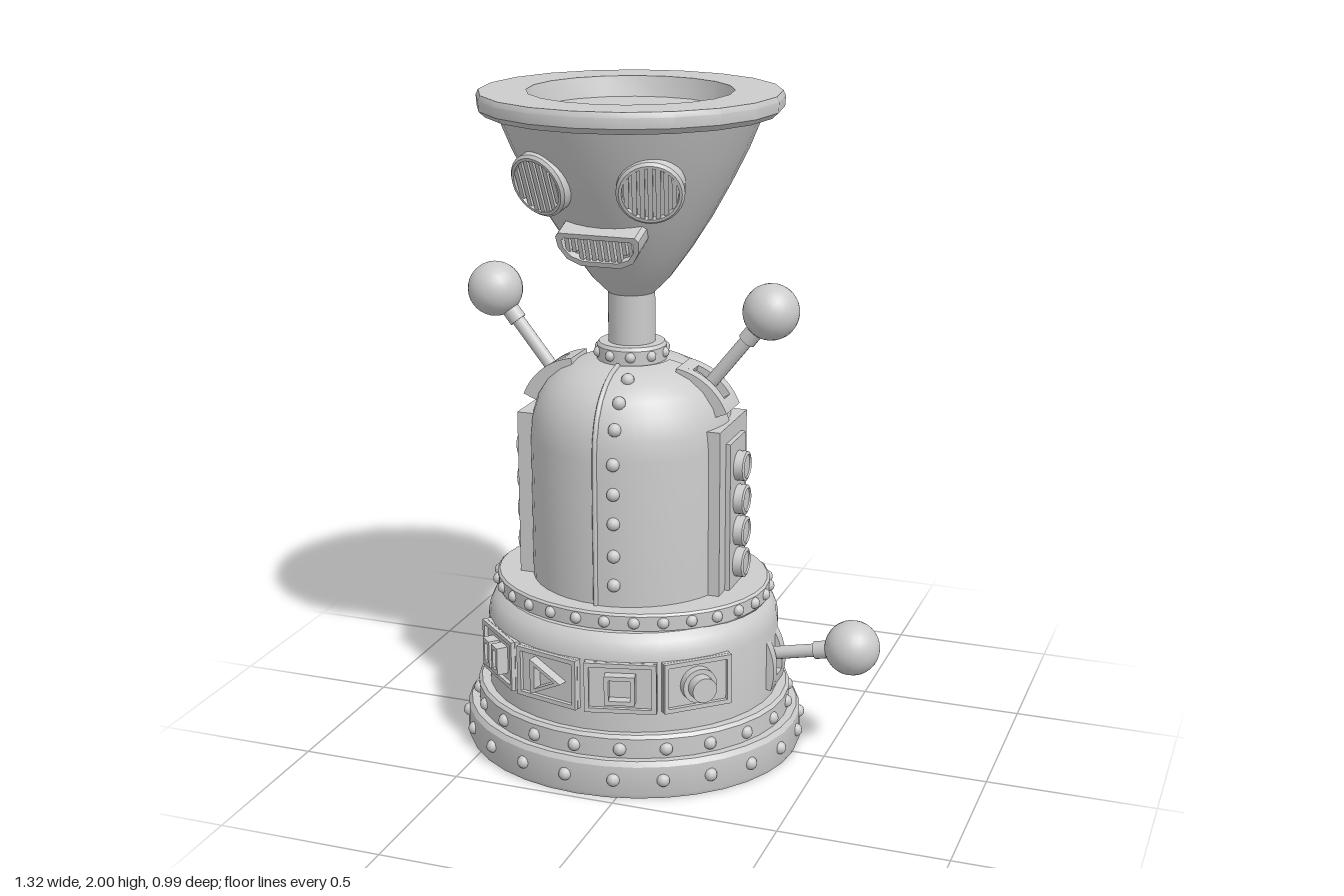
import * as THREE from 'three';
import { toCreasedNormals } from 'three/addons/utils/BufferGeometryUtils.js';

const material = new THREE.MeshStandardMaterial({ color: 0xcccccc });
const thinMaterial = new THREE.MeshStandardMaterial({ color: 0xcccccc, side: THREE.DoubleSide });
const pts = (list) => list.map(([x, y]) => new THREE.Vector2(x, y));

function add(parent, name, geometry, x = 0, y = 0, z = 0) {
  const mesh = new THREE.Mesh(geometry, material);
  mesh.name = name;
  mesh.position.set(x, y, z);
  parent.add(mesh);
  return mesh;
}

function addGroup(parent, name, x, y, z) {
  const g = new THREE.Group();
  g.name = name;
  g.position.set(x, y, z);
  parent.add(g);
  return g;
}

const lathe = (list, segments = 36, start = 0, sweep = Math.PI * 2) =>
  toCreasedNormals(new THREE.LatheGeometry(pts(list), segments, start, sweep), 0.55);

const extrude = (shape, depth) =>
  toCreasedNormals(new THREE.ExtrudeGeometry(shape, { depth, bevelEnabled: false, curveSegments: 12 }), 0.55);

// Outline with an optional inset copy cut out of it
function frame(outer, inner, depth) {
  const shape = new THREE.Shape(pts(outer));
  if (inner) shape.holes.push(new THREE.Path(pts(inner)));
  return extrude(shape, depth);
}
const rect = (w, h) => [[-w / 2, -h / 2], [w / 2, -h / 2], [w / 2, h / 2], [-w / 2, h / 2]];
const scaled = (list, s) => list.map(([x, y]) => [x * s, y * s]);

// Dome-headed rivets evenly spaced round an ellipse
const rivet = new THREE.SphereGeometry(0.02, 10, 8);
function rivetRing(parent, name, count, rx, rz, y, offset, size = 1) {
  for (let i = 0; i < count; i++) {
    const t = ((i + offset) / count) * Math.PI * 2;
    add(parent, name, rivet, rx * Math.sin(t), y, rz * Math.cos(t)).scale.setScalar(size);
  }
}

// Section of a curved plate, bent over the z axis, its crown at the origin
function arcPiece(a0, a1, depth) {
  const R = 0.2, shape = new THREE.Shape();
  shape.absarc(0, -R, R, Math.PI / 2 + a0, Math.PI / 2 + a1, false);
  shape.absarc(0, -R, R - 0.06, Math.PI / 2 + a1, Math.PI / 2 + a0, true);
  return extrude(shape, depth);
}

// Slotted plate with a ball-ended lever along local +y
function addLever(parent, name, x, y, z, tilt, length) {
  const g = addGroup(parent, name, x, y, z);
  g.rotation.z = tilt;
  for (const s of [-1, 1]) {
    add(g, 'slotRail', arcPiece(-0.52, 0.52, 0.036), 0, 0, s * 0.044 - 0.018);
    const [a0, a1] = s < 0 ? [-0.52, -0.32] : [0.32, 0.52];
    add(g, 'slotEnd', arcPiece(a0, a1, 0.06), 0, 0, -0.03);
  }
  add(g, 'leverRod', new THREE.CylinderGeometry(0.02, 0.02, length + 0.06, 14), 0, length / 2 - 0.03, 0);
  add(g, 'leverCollar', new THREE.CylinderGeometry(0.027, 0.027, 0.045, 14), 0, length - 0.095, 0);
  add(g, 'leverBall', new THREE.SphereGeometry(0.083, 24, 16), 0, length, 0);
}

function addBase(body) {
  const tiers = [
    ['bottomPlinth', 0.92, [[0, 0], [0.52, 0], [0.525, 0.012], [0.522, 0.1], [0.512, 0.115], [0, 0.115]]],
    ['upperPlinth', 0.925, [[0.4, 0.11], [0.488, 0.11], [0.488, 0.175], [0.478, 0.185], [0, 0.185]]],
    ['drum', 0.94, [[0.4, 0.18], [0.45, 0.18], [0.45, 0.4], [0.444, 0.43], [0.43, 0.46], [0.405, 0.48], [0, 0.48]]],
    ['drumRing', 0.855, [[0.35, 0.475], [0.42, 0.475], [0.425, 0.482], [0.425, 0.525], [0.418, 0.532], [0, 0.532]]],
  ];
  for (const [name, squash, profile] of tiers) add(body, name, lathe(profile)).scale.z = squash;
  rivetRing(body, 'plinthRivet', 22, 0.52, 0.478, 0.058, -0.25);
  rivetRing(body, 'upperPlinthRivet', 22, 0.484, 0.448, 0.143, -0.13);
  rivetRing(body, 'ringRivet', 30, 0.422, 0.36, 0.505, 0.5, 0.9);
}

// Four control buttons wrapped round the front of the drum
function addControls(body) {
  const triangle = [[-0.045, -0.055], [0.065, 0], [-0.045, 0.055]];
  const icons = [
    (g) => [-1, 1].forEach((s) => add(g, 'barKey', frame(rect(0.044, 0.085), rect(0.022, 0.06), 0.035), s * 0.03)),
    (g) => add(g, 'triangleKey', frame(triangle, scaled(triangle, 0.65), 0.03)),
    (g) => add(g, 'squareKey', frame(rect(0.09, 0.09), rect(0.064, 0.064), 0.03)),
    (g) => [[0.053, 0.025], [0.038, 0.06]].forEach(([r, d]) =>
      add(g, 'roundKey', new THREE.CylinderGeometry(r, r, d, 20), 0, 0, d / 2).rotation.x = Math.PI / 2),
  ];
  icons.forEach((icon, i) => {
    const t = (i - 1.5) * 0.51, rx = 0.452, rz = 0.424;
    const g = addGroup(body, 'controlButton', rx * Math.sin(t), 0.328, rz * Math.cos(t));
    g.rotation.y = Math.atan2(Math.sin(t) / rx, Math.cos(t) / rz);
    add(g, 'buttonPlate', new THREE.BoxGeometry(0.212, 0.155, 0.05), 0, 0, -0.026);
    add(g, 'buttonFrame', frame(rect(0.212, 0.155), rect(0.185, 0.128), 0.012));
    icon(g);
  });
}

function addTorso(body) {
  const dome = [[0.305, 0.5], [0.305, 0.97], [0.3, 1.03], [0.282, 1.09], [0.252, 1.137],
    [0.212, 1.172], [0.165, 1.195], [0.11, 1.207], [0, 1.21]];
  add(body, 'torso', lathe(dome, 40));

  // Overlapping front plate with its edge bead and rivet line
  const plate = dome.slice(0, -1).map(([r, y]) => [r + 0.008, y + 0.004]);
  add(body, 'frontPlate', lathe(plate, 12, 0, Math.PI / 2)).material = thinMaterial;
  const edge = new THREE.CatmullRomCurve3(plate.map(([r, y]) => new THREE.Vector3(0, y, r - 0.002)));
  add(body, 'plateEdge', new THREE.TubeGeometry(edge, 40, 0.008, 6));
  for (const y of [0.6, 0.69, 0.79, 0.88, 0.97, 1.07, 1.14, 1.19]) {
    const k = plate.findIndex((p) => p[1] > y), [r0, y0] = plate[k - 1], [r1, y1] = plate[k];
    const r = r0 + ((r1 - r0) * (y - y0)) / (y1 - y0);
    add(body, 'plateRivet', rivet, 0.056, y, Math.sqrt(r * r - 0.056 ** 2));
  }

  // Side panels with a column of round lamps
  for (const s of [-1, 1]) {
    const g = addGroup(body, 'sidePanel', 0, 0, 0);
    g.rotation.y = (s * Math.PI) / 2;
    add(g, 'panelBack', new THREE.BoxGeometry(0.255, 0.51, 0.07), 0, 0.785, 0.285);
    add(g, 'panelFront', new THREE.BoxGeometry(0.145, 0.46, 0.025), 0, 0.76, 0.322);
    for (const y of [0.6, 0.7, 0.8, 0.905]) {
      add(g, 'lamp', new THREE.CylinderGeometry(0.038, 0.038, 0.03, 20), 0, y, 0.345).rotation.x = Math.PI / 2;
      add(g, 'lampRim', lathe([[0.034, 0], [0.045, 0], [0.045, 0.032], [0.036, 0.036], [0.034, 0.02]], 20),
        0, y, 0.33).rotation.x = Math.PI / 2;
    }
    addLever(body, s > 0 ? 'leftArm' : 'rightArm', s * 0.26, 1.165, 0.012, -s * 0.67, 0.28);
  }
  addLever(body, 'sideLever', 0.465, 0.315, -0.015, -1.36, 0.235);
}

function addHead(body) {
  add(body, 'collar', lathe([[0.07, 1.2], [0.105, 1.2], [0.105, 1.25], [0.098, 1.26], [0, 1.26]], 24));
  rivetRing(body, 'collarRivet', 10, 0.102, 0.102, 1.232, 0.5, 0.8);
  add(body, 'neck', new THREE.CylinderGeometry(0.07, 0.07, 0.2, 24), 0, 1.33, 0);
  add(body, 'funnel', lathe([[0, 1.405], [0.07, 1.41], [0.115, 1.455], [0.18, 1.545], [0.24, 1.64],
    [0.295, 1.74], [0.345, 1.84], [0.388, 1.945]], 36));
  add(body, 'funnelRim', lathe([[0.36, 1.938], [0.425, 1.938], [0.443, 1.955], [0.445, 1.985], [0.438, 2],
    [0.3, 2], [0.285, 1.94], [0, 1.94]], 20));

  // Slatted eyes, facing outwards and slightly down
  for (const s of [-1, 1]) {
    const g = addGroup(body, s > 0 ? 'leftEye' : 'rightEye', s * 0.17, 1.76, 0.3);
    g.rotation.set(0.32, s * 0.32, 0, 'YXZ');
    add(g, 'eyeBody', new THREE.CylinderGeometry(0.085, 0.085, 0.12, 28), 0, 0, -0.075).rotation.x = Math.PI / 2;
    add(g, 'eyeRim', lathe([[0.078, -0.08], [0.096, -0.08], [0.096, -0.008], [0.088, 0], [0.08, 0], [0.078, -0.02]], 28))
      .rotation.x = Math.PI / 2;
    for (let i = -3; i <= 3; i++) {
      const x = i * 0.022, h = 2 * Math.sqrt(0.08 ** 2 - x * x);
      add(g, 'eyeSlat', new THREE.BoxGeometry(0.014, h, 0.02), x, 0, -0.013);
    }
  }

  // Grille mouth, flat above and rounded below
  const mouth = addGroup(body, 'mouth', 0, 1.582, 0.258);
  mouth.rotation.x = 0.35;
  const lip = [[0.115, 0.052], [-0.115, 0.052], [-0.125, 0.04], [-0.122, 0.005], [-0.1, -0.032], [-0.06, -0.052],
    [0.06, -0.052], [0.1, -0.032], [0.122, 0.005], [0.125, 0.04]];
  const inside = lip.map(([x, y]) => [x * 0.87, y * 0.7]);
  add(mouth, 'mouthBack', frame(lip, null, 0.1), 0, 0, -0.12);
  add(mouth, 'lip', frame(lip, inside, 0.025), 0, 0, -0.021);
  for (let i = -5; i <= 5; i++) {
    const low = Math.abs(i) > 3 ? -0.012 : -0.036;
    add(mouth, 'mouthSlat', new THREE.BoxGeometry(0.012, 0.036 - low, 0.018), i * 0.019, (0.036 + low) / 2, -0.012);
  }
}

export function createModel() {
  const model = new THREE.Group();
  model.name = 'leverRobot';
  const body = addGroup(model, 'body', -0.12, 0, 0);
  addBase(body);
  addControls(body);
  addTorso(body);
  addHead(body);
  return model;
}
